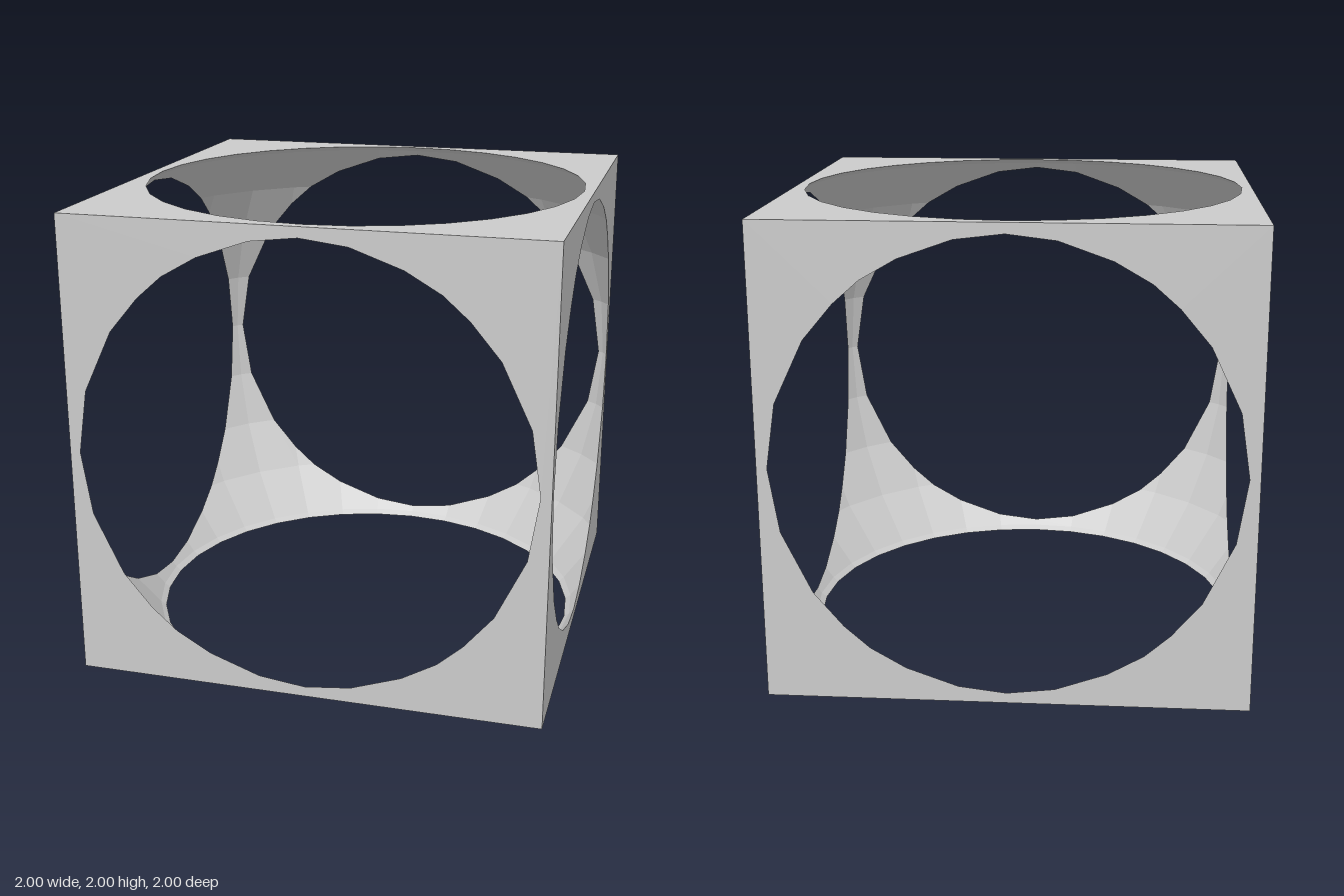
import * as THREE from 'three';

const RADIUS = 1.386, SEGMENTS = 32, RINGS = 16;

// Point of the faceted sphere at ring i, meridian j
function spherePoint(i, j) {
  const lat = -Math.PI / 2 + (i * Math.PI) / RINGS;
  const lon = (j * 2 * Math.PI) / SEGMENTS;
  const r = RADIUS * Math.cos(lat);
  return new THREE.Vector3(r * Math.sin(lon), RADIUS * Math.sin(lat), r * Math.cos(lon));
}

// Keep the part of a polygon where sign * p[axis] <= 1
function clip(poly, axis, sign) {
  const out = [];
  poly.forEach((a, k) => {
    const b = poly[(k + 1) % poly.length];
    const da = 1 - sign * a[axis], db = 1 - sign * b[axis];
    if (da >= 0) out.push(a);
    if (da * db < 0) out.push(a.clone().lerp(b, da / (da - db)));
  });
  return out;
}

// Square cube face with a hole following the sphere's cut outline
function faceGeometry(points) {
  const sorted = points
    .map((p) => ({ p, angle: Math.atan2(p.y, p.x) }))
    .sort((a, b) => a.angle - b.angle)
    .map((o) => o.p);
  const outline = sorted.filter((p, k) => p.distanceTo(sorted[(k + 1) % sorted.length]) > 1e-4);
  const shape = new THREE.Shape([
    new THREE.Vector2(-1, -1), new THREE.Vector2(1, -1),
    new THREE.Vector2(1, 1), new THREE.Vector2(-1, 1),
  ]);
  shape.holes.push(new THREE.Path(outline));
  return new THREE.ShapeGeometry(shape).translate(0, 0, 1);
}

export function createModel() {
  const group = new THREE.Group();
  const material = new THREE.MeshStandardMaterial({ color: 0xcccccc, flatShading: true });
  const add = (name, geometry) => {
    const mesh = new THREE.Mesh(geometry, material);
    mesh.name = name;
    mesh.position.y = 1;
    group.add(mesh);
    return mesh;
  };

  // Hollow inside: sphere facets trimmed to the cube, facing inward
  const positions = [], sideHole = [], capHole = [];
  for (let i = 0; i < RINGS; i++) {
    for (let j = 0; j < SEGMENTS; j++) {
      let poly = [spherePoint(i, j), spherePoint(i, j + 1), spherePoint(i + 1, j + 1), spherePoint(i + 1, j)];
      for (const axis of ['x', 'y', 'z']) {
        for (const sign of [1, -1]) poly = clip(poly, axis, sign);
      }
      for (let k = 1; k < poly.length - 1; k++) {
        for (const p of [poly[0], poly[k + 1], poly[k]]) positions.push(p.x, p.y, p.z);
      }
      for (const p of poly) {
        if (Math.abs(p.z - 1) < 1e-6) sideHole.push(new THREE.Vector2(p.x, p.y));
        if (Math.abs(p.y - 1) < 1e-6) capHole.push(new THREE.Vector2(p.x, -p.z));
      }
    }
  }
  const hollow = new THREE.BufferGeometry();
  hollow.setAttribute('position', new THREE.Float32BufferAttribute(positions, 3));
  hollow.computeVertexNormals();
  add('sphericalHollow', hollow);

  // Four upright faces
  const side = faceGeometry(sideHole);
  ['frontFace', 'leftFace', 'backFace', 'rightFace'].forEach((name, k) => {
    add(name, side).rotation.y = (k * Math.PI) / 2;
  });

  // Top and bottom faces
  const cap = faceGeometry(capHole);
  add('topFace', cap).rotation.x = -Math.PI / 2;
  add('bottomFace', cap).rotation.x = Math.PI / 2;

  return group;
}
